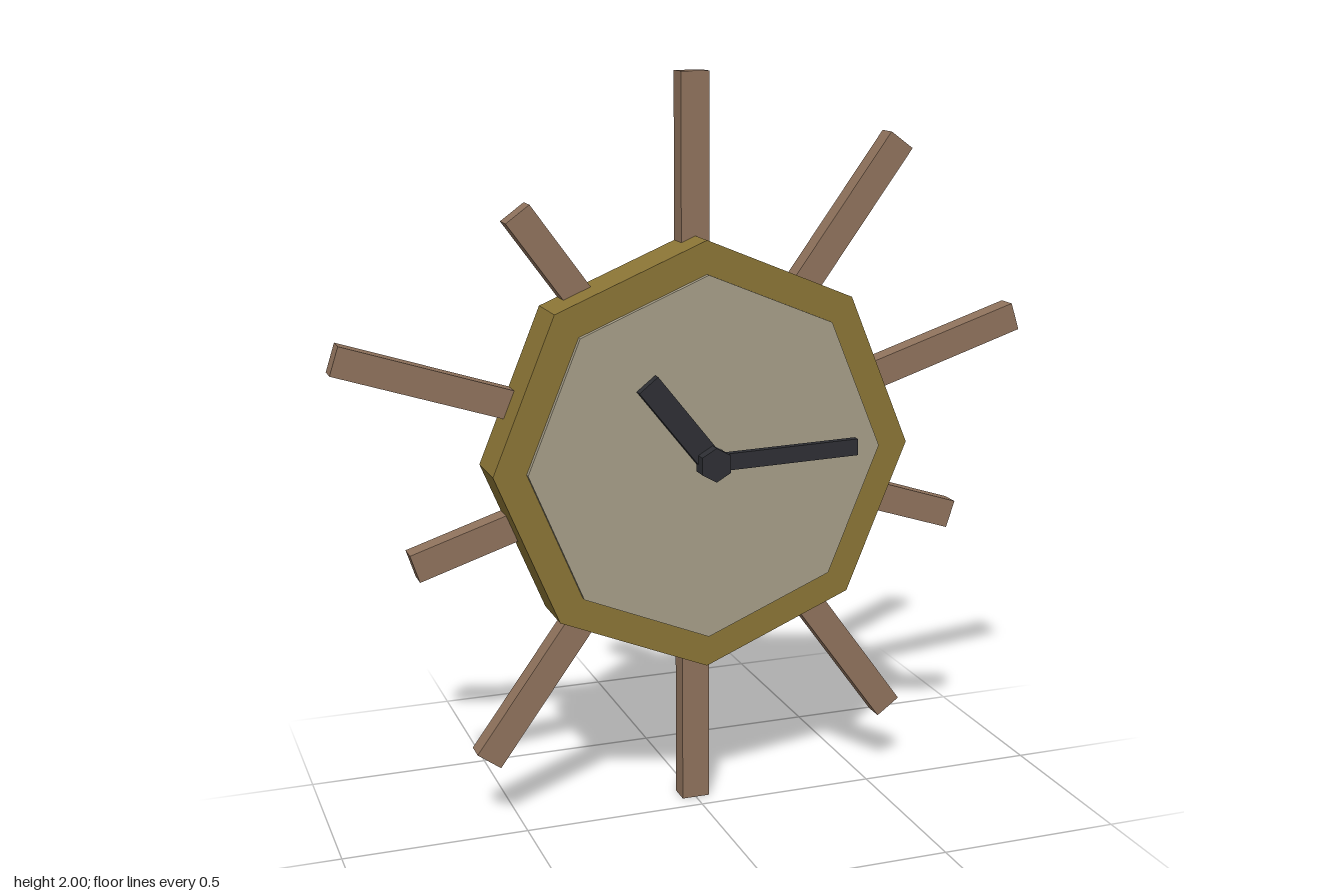
import * as THREE from 'three';

const mat = (color) => new THREE.MeshStandardMaterial({ color, flatShading: true });

export function createModel() {
  const clock = new THREE.Group();
  clock.name = 'sunburstClock';
  const gold = mat(0x8b7536), cream = mat(0xa69e88), wood = mat(0x90735d), dark = mat(0x2e2f34);

  const add = (name, geometry, material) => {
    const mesh = new THREE.Mesh(geometry, material);
    mesh.name = name;
    clock.add(mesh);
    return mesh;
  };

  // Prism facing +z with a corner pointing up, between two depths
  const prism = (name, radius, sides, z0, z1, material) => {
    const g = new THREE.CylinderGeometry(radius, radius, z1 - z0, sides);
    g.rotateX(Math.PI / 2);
    g.rotateZ(sides % 4 ? 0 : Math.PI / 2);
    g.translate(0, 1, (z0 + z1) / 2);
    return add(name, g, material);
  };

  // Bar running outward from the centre; angle is clockwise from 12 o'clock, in degrees
  const bar = (name, angle, r0, r1, width, z0, z1, material) => {
    const g = new THREE.BoxGeometry(width, r1 - r0, z1 - z0);
    g.translate(0, (r0 + r1) / 2, (z0 + z1) / 2);
    const mesh = add(name, g, material);
    mesh.position.y = 1;
    mesh.rotation.z = -THREE.MathUtils.degToRad(angle);
    return mesh;
  };

  // Octagonal case and dial
  prism('case', 0.578, 8, -0.11, 0.038, gold);
  prism('dial', 0.49, 8, 0.03, 0.053, cream);

  // Ten rays, three of them short
  const shortRays = [3, 7, 9];
  for (let i = 0; i < 10; i++) {
    bar('ray' + (i + 1), i * 36, 0.5, shortRays.includes(i) ? 0.808 : 1, 0.078, -0.109, -0.052, wood);
  }

  // Hands and hub
  bar('hourHand', -38.5, -0.02, 0.28, 0.065, 0.057, 0.081, dark);
  bar('minuteHand', 88.5, 0, 0.41, 0.045, 0.073, 0.093, dark);
  prism('hub', 0.046, 6, 0.066, 0.112, dark);

  return clock;
}
